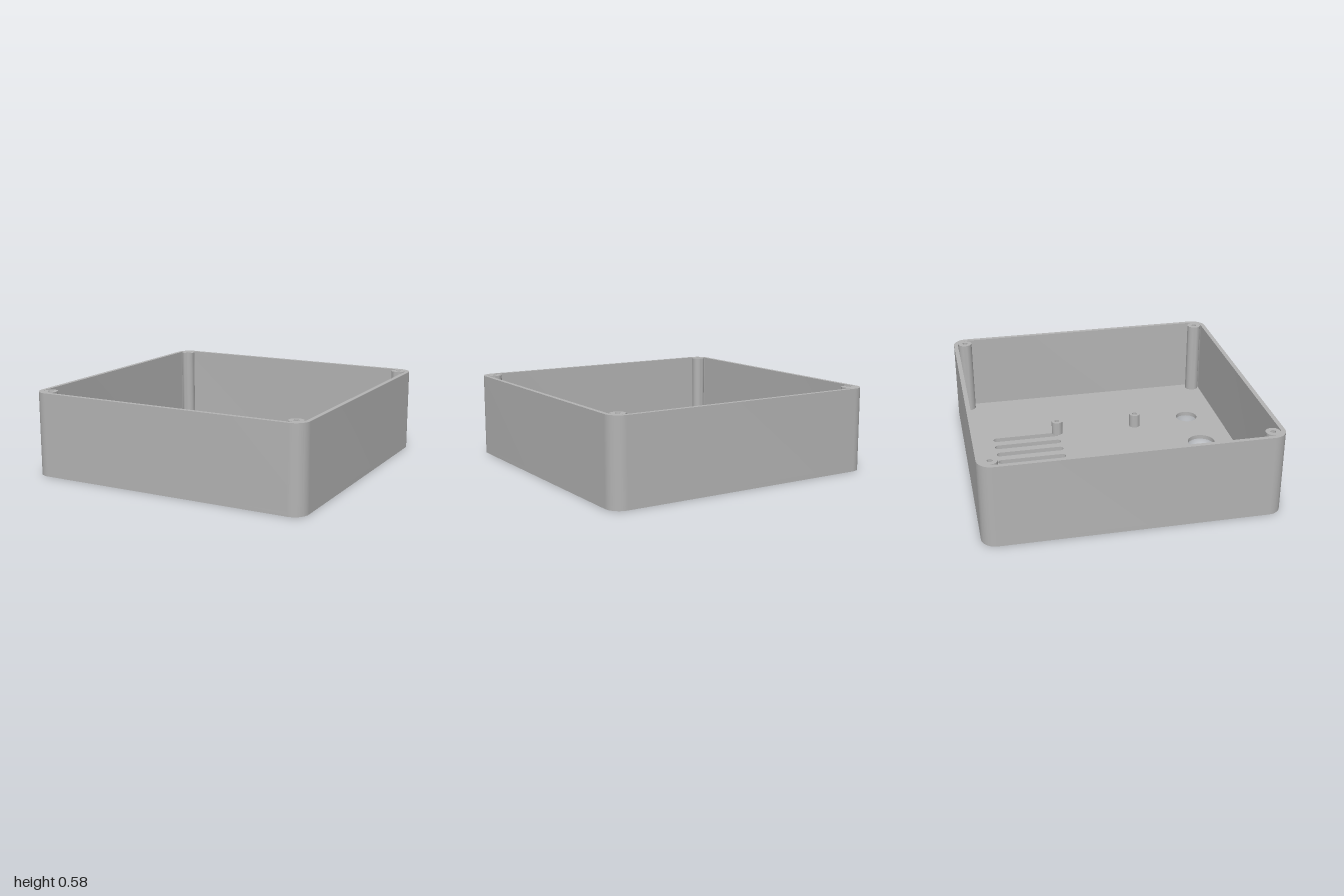
import * as THREE from 'three';
import { toCreasedNormals } from 'three/addons/utils/BufferGeometryUtils.js';

const HEIGHT = 0.58, FLOOR = 0.03, WALL = 0.03;

// Rounded rectangle outline centred on (x, y)
function roundedRect(PathType, x, y, halfW, halfH, r) {
  const p = new PathType();
  p.absarc(x + halfW - r, y + halfH - r, r, 0, Math.PI / 2);
  p.absarc(x - halfW + r, y + halfH - r, r, Math.PI / 2, Math.PI);
  p.absarc(x - halfW + r, y - halfH + r, r, Math.PI, Math.PI * 1.5);
  p.absarc(x + halfW - r, y - halfH + r, r, Math.PI * 1.5, Math.PI * 2);
  p.closePath();
  return p;
}

// Extrude a plan outline upwards; plan y becomes -z
function extrudeUp(shape, y0, y1) {
  const g = new THREE.ExtrudeGeometry(shape, { depth: y1 - y0, bevelEnabled: false, curveSegments: 16 });
  g.rotateX(-Math.PI / 2);
  g.translate(0, y0, 0);
  return toCreasedNormals(g, 0.6);
}

// Round post with a blind screw hole in its top
function postGeometry(radius, bore, y0, y1, boreBottom) {
  const profile = [[0, y0], [radius, y0], [radius, y1], [bore, y1], [bore, boreBottom], [0, boreBottom]]
    .map(([r, y]) => new THREE.Vector2(r, y));
  return toCreasedNormals(new THREE.LatheGeometry(profile, 32), 0.6);
}

export function createModel() {
  const group = new THREE.Group();
  const grey = new THREE.MeshStandardMaterial({ color: 0xb3b3b3 });
  grey.name = 'grey plastic';
  const add = (name, geometry, x = 0, z = 0) => {
    const mesh = new THREE.Mesh(geometry, grey);
    mesh.name = name;
    mesh.position.set(x, 0, z);
    group.add(mesh);
  };

  // Floor plate with ventilation slots and two round openings
  const floor = roundedRect(THREE.Shape, 0, 0, 1, 1, 0.1);
  for (let i = -3; i <= 3; i++) {
    floor.holes.push(roundedRect(THREE.Path, i * 0.11, 0.54, 0.027, 0.246, 0.0269));
  }
  for (const [x, z, r] of [[0, 0.73, 0.1], [0.41, 0.73, 0.08]]) {
    const hole = new THREE.Path();
    hole.absarc(x, -z, r, 0, Math.PI * 2);
    floor.holes.push(hole);
  }
  add('floor', extrudeUp(floor, 0, FLOOR));

  // Side walls
  const walls = roundedRect(THREE.Shape, 0, 0, 1, 1, 0.1);
  walls.holes.push(roundedRect(THREE.Path, 0, 0, 1 - WALL, 1 - WALL, 0.08));
  add('walls', extrudeUp(walls, FLOOR, HEIGHT));

  // Tall lid posts in the corners and short board standoffs on the floor
  const lidPost = postGeometry(0.05, 0.018, FLOOR, HEIGHT, HEIGHT - 0.2);
  const standoff = postGeometry(0.04, 0.018, FLOOR, FLOOR + 0.1, FLOOR + 0.01);
  for (const sx of [-1, 1]) {
    for (const sz of [-1, 1]) {
      add('lidPost', lidPost, sx * 0.915, sz * 0.915);
      add('standoff', standoff, sx * 0.355, sz * 0.3);
    }
  }
  return group;
}
